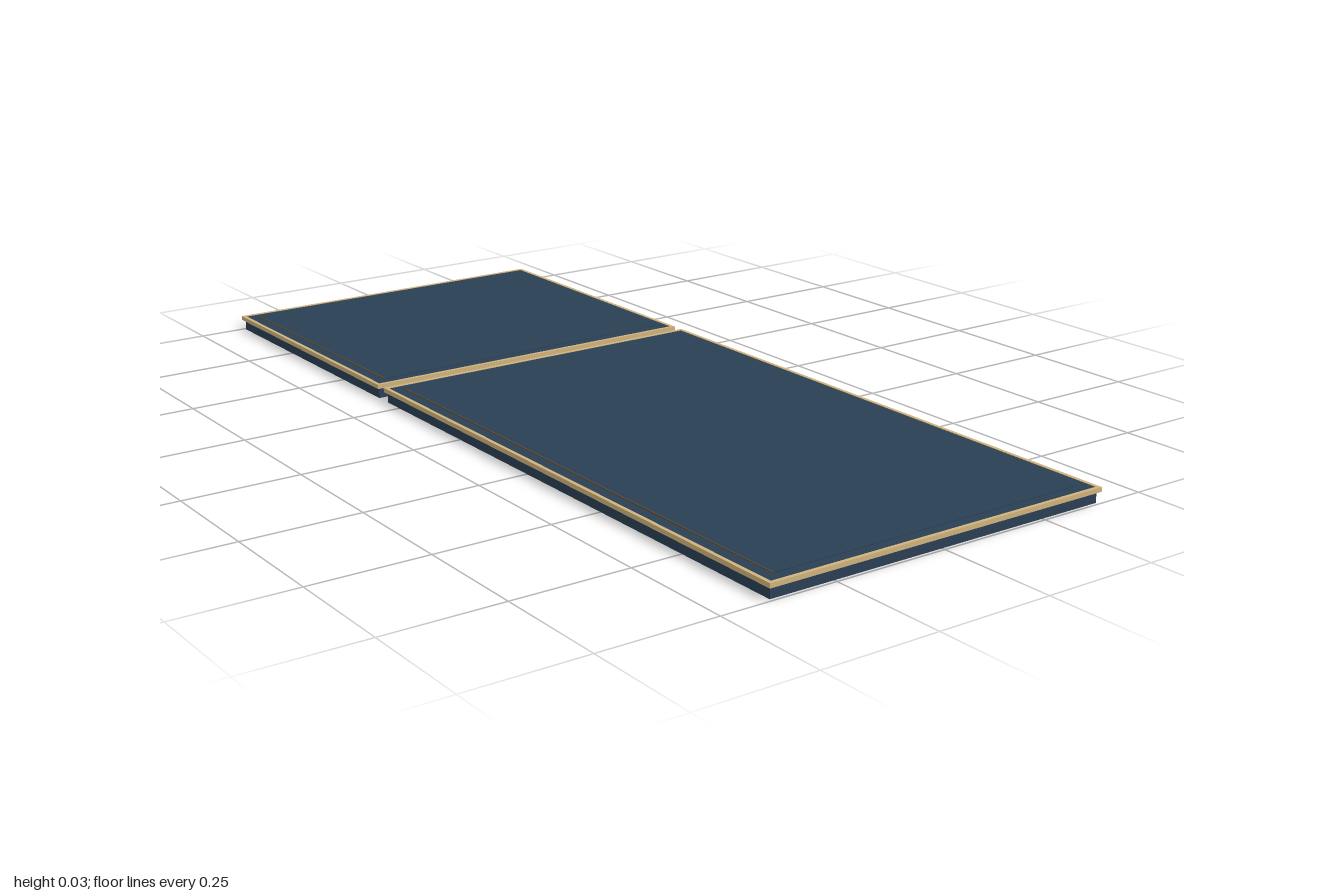
import * as THREE from 'three';

const navy = new THREE.MeshStandardMaterial({ color: 0x2a3f55 });
const gold = new THREE.MeshStandardMaterial({ color: 0xd0b27c });
const brown = new THREE.MeshStandardMaterial({ color: 0x5c4a34 });

// Box given by its limits on each axis
function box(name, material, [x0, x1], [y0, y1], [z0, z1]) {
  const mesh = new THREE.Mesh(new THREE.BoxGeometry(x1 - x0, y1 - y0, z1 - z0), material);
  mesh.position.set((x0 + x1) / 2, (y0 + y1) / 2, (z0 + z1) / 2);
  mesh.name = name;
  return mesh;
}

// One flat panel: slab, raised border, thin top sheet and a front inlay line
function panel(name, x0, x1) {
  const group = new THREE.Group();
  group.name = name;
  const depth = 0.397, rim = 0.008, inset = 0.032, trimY = [0.023, 0.0325];
  group.add(box('slab', navy, [x0 + 0.007, x1 - 0.007], [0, 0.0315], [-0.391, 0.391]));

  // Border strips, butted at the corners
  for (const s of [-1, 1]) {
    const z = [s * depth, s * (depth - rim)].sort((a, b) => a - b);
    group.add(box('borderLong', gold, [x0, x1], trimY, z));
  }
  for (const x of [x0, x1 - rim]) {
    group.add(box('borderShort', gold, [x, x + rim], trimY, [-depth + rim, depth - rim]));
  }

  // Top sheet and inlay
  const edge = depth - inset;
  group.add(box('topSheet', navy, [x0 + inset, x1 - inset], [0.031, 0.0335], [-edge, edge - 0.003]));
  group.add(box('frontInlay', brown, [x0 + inset, x1 - inset], [0.031, 0.0335], [edge - 0.003, edge]));
  return group;
}

export function createModel() {
  const model = new THREE.Group();
  model.name = 'twoPanels';
  model.add(panel('smallPanel', -1, -0.33), panel('largePanel', -0.305, 1));
  return model;
}
